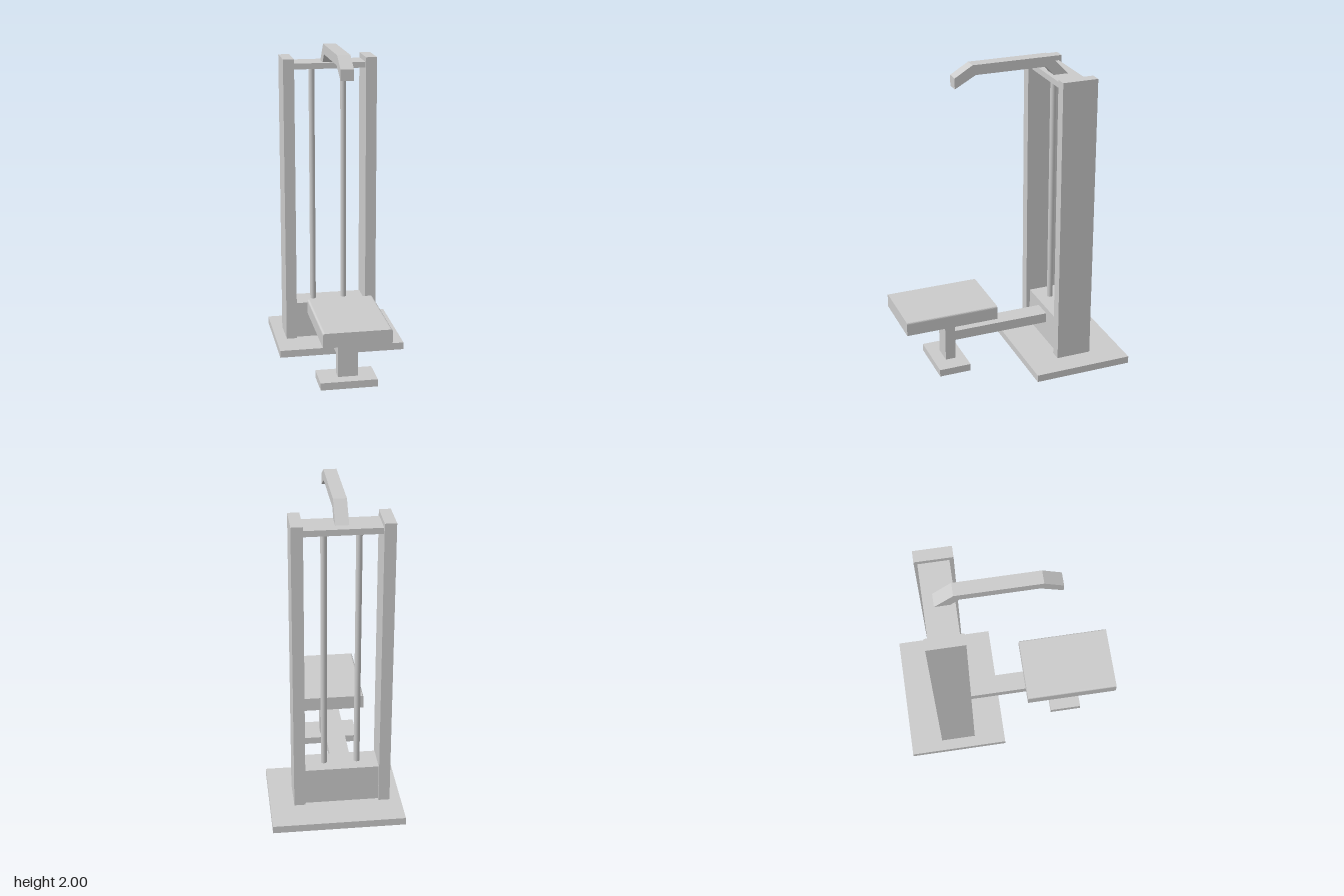
import * as THREE from 'three';

const material = new THREE.MeshStandardMaterial({ color: 0xcccccc });

export function createModel() {
  const group = new THREE.Group();
  group.name = 'exerciseMachine';

  const add = (name, geometry) => {
    const mesh = new THREE.Mesh(geometry, material);
    mesh.name = name;
    group.add(mesh);
    return mesh;
  };
  // Box given by its extents on each axis
  const box = (name, [x0, x1], [y0, y1], [z0, z1]) =>
    add(name, new THREE.BoxGeometry(x1 - x0, y1 - y0, z1 - z0))
      .position.set((x0 + x1) / 2, (y0 + y1) / 2, (z0 + z1) / 2);

  // Tower: base plate, two uprights, lower block and top crossbar
  const frameX = -0.04; // centre line of the tower
  const inner = [-0.27, 0.19];
  const barZ = [-0.477, -0.295];
  box('basePlate', [-0.41, 0.41], [0, 0.047], [-0.707, -0.067]);
  box('rightUpright', [-0.34, -0.27], [0.047, 1.912], [-0.497, -0.27]);
  box('leftUpright', [0.19, 0.26], [0.047, 1.912], [-0.497, -0.27]);
  box('lowerBlock', inner, [0.047, 0.285], barZ);
  box('topCrossbar', inner, [1.843, 1.88], barZ);

  // Guide rods
  for (const [name, side] of [['rightGuideRod', -1], ['leftGuideRod', 1]]) {
    add(name, new THREE.CylinderGeometry(0.019, 0.019, 1.56, 20))
      .position.set(frameX + side * 0.103, 1.065, -0.386);
  }

  // Overhead arm: bent side profile (z, y) extruded across x
  const profile = [
    [0.313, 1.932], [0.2, 2], [-0.305, 2], [-0.417, 1.88],
    [-0.325, 1.88], [-0.272, 1.938], [0.18, 1.938], [0.313, 1.865],
  ];
  const armShape = new THREE.Shape(profile.map(([z, y]) => new THREE.Vector2(-z, y)));
  const arm = new THREE.ExtrudeGeometry(armShape, { depth: 0.08, bevelEnabled: false });
  arm.rotateY(Math.PI / 2);
  add('overheadArm', arm).position.x = -0.08;

  // Seat support
  const beamX = [-0.115, 0.01];
  box('connectingBeam', beamX, [0.18, 0.245], [-0.295, 0.345]);
  box('seatPost', beamX, [0.047, 0.365], [0.343, 0.41]);
  box('seatFoot', [-0.235, 0.12], [0, 0.047], [0.28, 0.487]);

  // Seat cushion: cross-section with softened top corners, run along z
  const [x0, x1, y0, y1, r] = [-0.255, 0.16, 0.365, 0.455, 0.013];
  const cushion = new THREE.Shape();
  cushion.moveTo(x0, y0);
  cushion.lineTo(x1, y0);
  cushion.lineTo(x1, y1 - r);
  cushion.quadraticCurveTo(x1, y1, x1 - r, y1);
  cushion.lineTo(x0 + r, y1);
  cushion.quadraticCurveTo(x0, y1, x0, y1 - r);
  cushion.closePath();
  add('seatCushion', new THREE.ExtrudeGeometry(cushion, {
    depth: 0.597, bevelEnabled: false, curveSegments: 5,
  })).position.z = 0.11;

  return group;
}
